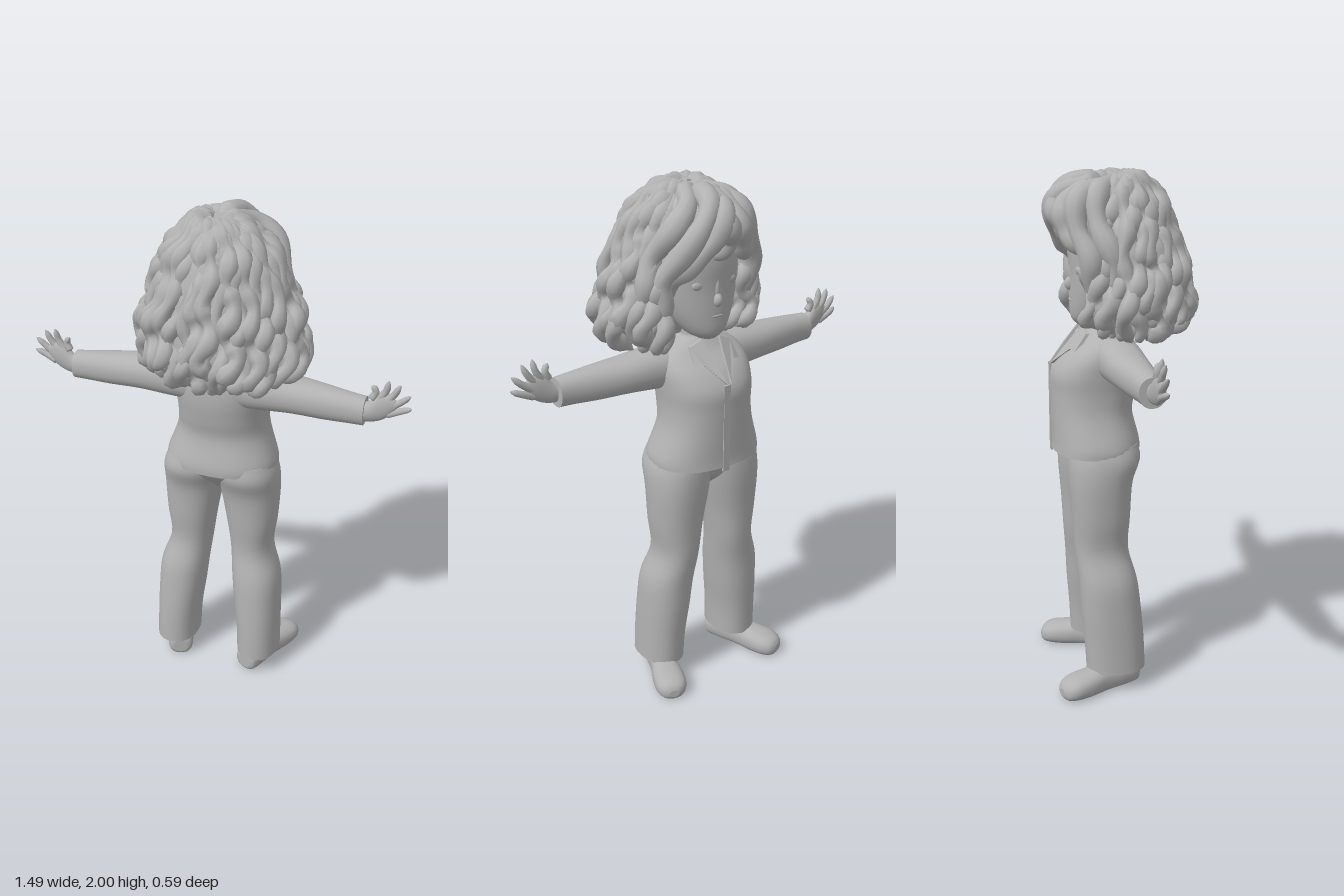
import * as THREE from 'three';
import { mergeVertices, mergeGeometries } from 'three/addons/utils/BufferGeometryUtils.js';

const clay = new THREE.MeshStandardMaterial({ color: 0xb2b2b2 });
clay.name = 'grey clay';

let seed = 7;
const rand = () => (seed = (seed * 16807) % 2147483647) / 2147483647;
const V = (p) => new THREE.Vector3(...p);

// Catmull-Rom value of a list of number rows at u in 0..1
function blend(rows, u) {
  const f = u * (rows.length - 1), i = Math.min(Math.floor(f), rows.length - 2), t = f - i;
  const at = (k) => rows[Math.max(0, Math.min(rows.length - 1, k))];
  return rows[0].map((_, c) => {
    const [a, b, d, e] = [at(i - 1)[c], at(i)[c], at(i + 1)[c], at(i + 2)[c]];
    return b + 0.5 * t * (d - a + t * (2 * a - 5 * b + 4 * d - e + t * (3 * (b - d) + e - a)));
  });
}

// Closed body through elliptical sections [y, centreX, centreZ, halfX, halfZ], y rising
function loft(rows, steps = 24, sides = 28, square = 0.9) {
  const pos = [], idx = [];
  const pw = (v) => Math.sign(v) * Math.abs(v) ** square;
  const ring = ([y, cx, cz, a, b]) => {
    for (let j = 0; j < sides; j++) {
      const t = (j / sides) * Math.PI * 2;
      pos.push(cx + a * pw(Math.cos(t)), y, cz + b * pw(Math.sin(t)));
    }
  };
  for (let i = 0; i <= steps; i++) ring(blend(rows, i / steps));
  for (let i = 0; i < steps; i++) for (let j = 0; j < sides; j++) {
    const a = i * sides + j, c = i * sides + (j + 1) % sides;
    idx.push(a, a + sides, c, c, a + sides, c + sides);
  }
  for (const [row, top] of [[rows[0], false], [rows[rows.length - 1], true]]) {
    const s = pos.length / 3;
    ring(row);
    pos.push(row[1], row[0], row[2]);
    for (let j = 0; j < sides; j++) {
      const a = s + j, b = s + (j + 1) % sides;
      idx.push(s + sides, top ? b : a, top ? a : b);
    }
  }
  const g = new THREE.BufferGeometry();
  g.setAttribute('position', new THREE.Float32BufferAttribute(pos, 3));
  g.setIndex(idx);
  g.computeVertexNormals();
  return g;
}

// Tube whose radius follows a function of its length
function strand(points, radius, steps = 36, sides = 8) {
  const curve = new THREE.CatmullRomCurve3(points.map(V));
  const g = new THREE.TubeGeometry(curve, steps, 1, sides);
  const p = g.attributes.position, v = new THREE.Vector3();
  for (let k = 0; k < p.count; k++) {
    const u = Math.floor(k / (sides + 1)) / steps, c = curve.getPointAt(u);
    v.fromBufferAttribute(p, k).sub(c).multiplyScalar(Math.max(radius(u), 0.0005)).add(c);
    p.setXYZ(k, v.x, v.y, v.z);
  }
  g.deleteAttribute('uv');
  g.deleteAttribute('normal');
  const m = mergeVertices(g, 1e-6);
  m.computeVertexNormals();
  return m;
}
const rounded = (r, tip = 0.1) => (u) => r * Math.sqrt(Math.min(1, (u + 0.004) / 0.06, (1 - u) / tip));

function mirrored(g) {
  const m = g.clone().scale(-1, 1, 1), a = m.index.array;
  for (let i = 0; i < a.length; i += 3) [a[i], a[i + 1]] = [a[i + 1], a[i]];
  m.computeVertexNormals();
  return m;
}

const ball = (x, y, z, a, b, c) => new THREE.SphereGeometry(1, 20, 14).scale(a, b, c).translate(x, y, z);

export function createModel() {
  const model = new THREE.Group();
  model.name = 'curlyHairedFigure';
  const add = (name, g) => {
    const m = new THREE.Mesh(g, clay);
    m.name = name;
    model.add(m);
  };
  const pair = (name, g) => { add('left' + name, g); add('right' + name, mirrored(g)); };

  // Trousers with flared legs
  add('trouserSeat', loft([[0.84, 0, -0.1, 0.03, 0.05], [0.875, 0, -0.1, 0.1, 0.088], [0.91, 0, -0.092, 0.18, 0.115],
    [0.95, 0, -0.085, 0.222, 0.138], [1.0, 0, -0.09, 0.21, 0.145]], 14, 28, 1));
  pair('TrouserLeg', loft([[0.08, 0.18, -0.055, 0.086, 0.116], [0.2, 0.176, -0.06, 0.088, 0.117],
    [0.33, 0.166, -0.07, 0.095, 0.117], [0.45, 0.155, -0.08, 0.097, 0.113], [0.57, 0.13, -0.1, 0.085, 0.104],
    [0.7, 0.127, -0.1, 0.101, 0.111], [0.84, 0.118, -0.1, 0.118, 0.122], [0.93, 0.11, -0.085, 0.122, 0.138],
    [0.99, 0.1, -0.085, 0.11, 0.13]], 36));

  // Shoes, flattened on the ground and turned outward
  const shoe = loft([[-0.03, 0, 0.04, 0.03, 0.03], [-0.015, 0, 0.045, 0.05, 0.05], [0.05, 0, 0.05, 0.055, 0.06],
    [0.12, 0, 0.045, 0.052, 0.055], [0.2, 0, 0.04, 0.062, 0.05], [0.26, 0, 0.037, 0.062, 0.044],
    [0.295, 0, 0.032, 0.045, 0.033], [0.308, 0, 0.03, 0.02, 0.015]], 28, 24, 0.85).rotateX(-Math.PI / 2);
  const sp = shoe.attributes.position;
  for (let i = 0; i < sp.count; i++) sp.setY(i, Math.max(0, sp.getY(i)));
  shoe.computeVertexNormals();
  pair('Shoe', shoe.rotateY(-0.36).translate(0.155, 0, 0.005));

  // Shirt body, front placket and collar
  add('shirt', loft([[0.955, 0, -0.1, 0.222, 0.168], [0.995, 0, -0.1, 0.218, 0.166], [1.1, 0, -0.113, 0.182, 0.155],
    [1.18, 0, -0.107, 0.174, 0.162], [1.26, 0, -0.1, 0.18, 0.166], [1.33, 0, -0.08, 0.182, 0.143],
    [1.385, 0, -0.06, 0.155, 0.1], [1.43, 0, -0.06, 0.07, 0.065]], 36, 36, 0.86));
  add('placket', new THREE.BoxGeometry(0.028, 0.345, 0.008).translate(0.012, 1.112, -0.266));
  const lapel = new THREE.ExtrudeGeometry(new THREE.Shape([[0.04, 1.43], [0.09, 1.41], [0.1, 1.345],
    [0.068, 1.352], [0.008, 1.285]].map(([x, y]) => new THREE.Vector2(x, y))), { depth: 0.014, bevelEnabled: false });
  const lp = lapel.attributes.position;
  for (let i = 0; i < lp.count; i++) {
    const x = lp.getX(i), y = lp.getY(i);
    lp.setZ(i, lp.getZ(i) - 0.162 - (1.42 - y) * 0.8 + x * x * 3);
  }
  lapel.setIndex([...Array(lp.count).keys()]);
  lapel.computeVertexNormals();
  pair('Collar', lapel);

  // Sleeves stretched out sideways
  pair('Sleeve', loft([[0.07, -1.32, -0.04, 0.085, 0.09], [0.18, -1.322, -0.035, 0.08, 0.086],
    [0.3, -1.32, -0.03, 0.069, 0.078], [0.42, -1.315, -0.02, 0.064, 0.064], [0.52, -1.312, -0.012, 0.057, 0.052],
    [0.575, -1.31, -0.01, 0.054, 0.048]], 24).rotateZ(-Math.PI / 2));

  // Hands with spread fingers
  const tips = [[0.745, 1.352], [0.738, 1.403], [0.698, 1.44], [0.655, 1.45], [0.595, 1.422]];
  const fingers = tips.map(([x, y], i) => {
    const bx = 0.672 - i * 0.014, by = 1.322 + i * 0.013;
    return strand([[bx - 0.02, by - 0.01, -0.002], [(bx + x) / 2 + 0.004, (by + y) / 2, -0.004], [x, y, 0.002]],
      (u) => rounded(0.016, 0.2)(u) * (1 - 0.35 * u), 14);
  });
  pair('Fingers', mergeGeometries(fingers));
  pair('Palm', loft([[0.55, -1.31, -0.004, 0.036, 0.03], [0.585, -1.313, -0.004, 0.04, 0.027],
    [0.62, -1.332, -0.003, 0.052, 0.023], [0.655, -1.346, -0.002, 0.046, 0.018],
    [0.685, -1.355, -0.002, 0.02, 0.01]], 14, 20, 1).rotateZ(-Math.PI / 2));

  // Neck, head and face
  add('neck', new THREE.CylinderGeometry(0.055, 0.062, 0.16, 20).translate(0, 1.44, -0.05));
  add('head', loft([[1.43, 0, -0.115, 0.035, 0.045], [1.46, 0, -0.1, 0.08, 0.085], [1.53, 0, -0.08, 0.123, 0.11],
    [1.63, 0, -0.072, 0.148, 0.117], [1.74, 0, -0.07, 0.148, 0.122], [1.85, 0, -0.06, 0.11, 0.1],
    [1.9, 0, -0.05, 0.05, 0.05]], 28, 32, 1));
  add('nose', ball(0, 1.585, -0.186, 0.018, 0.026, 0.022));
  add('noseBridge', ball(0, 1.625, -0.18, 0.013, 0.05, 0.014));
  add('upperLip', ball(0, 1.525, -0.181, 0.034, 0.008, 0.011));
  add('lowerLip', ball(0, 1.511, -0.177, 0.028, 0.009, 0.012));
  pair('Eye', ball(0.06, 1.645, -0.164, 0.036, 0.022, 0.015));
  pair('Eyebrow', strand([[0.028, 1.688, -0.18], [0.065, 1.702, -0.17], [0.102, 1.69, -0.15]], rounded(0.008), 12));

  // Hair mass under the curls
  add('hairBase', loft([[1.4, 0.03, 0.08, 0.14, 0.1], [1.5, 0.03, 0.08, 0.25, 0.16], [1.65, 0.03, 0.06, 0.255, 0.17],
    [1.8, 0.025, 0.005, 0.21, 0.2], [1.9, 0.02, -0.025, 0.15, 0.185], [1.968, 0.01, -0.03, 0.06, 0.09]], 28, 32, 1));

  // Curly locks falling from the crown, open around the face
  const fall = [[1.97, 0.08], [1.945, 0.33], [1.87, 0.58], [1.75, 0.76], [1.62, 0.89], [1.5, 0.95], [1.39, 0.74]];
  const curls = [];
  for (const [count, size, reach] of [[32, 1, 1], [24, 0.82, 1.04]]) {
    for (let k = 0; k < count; k++) {
      const phi = 0.72 + ((k + 0.3 * rand()) / (count - 0.7)) * (2 * Math.PI - 1.44);
      const phase = rand() * 6.28, waves = 19 + rand() * 8, girth = 0.027 + rand() * 0.009;
      const end = Math.min(1, (0.87 + rand() * 0.14) * reach), grow = size * (0.94 + rand() * 0.09);
      const points = [];
      for (let i = 0; i <= 26; i++) {
        const t = i / 26, [y, r] = blend(fall, t * end);
        const a = phi + Math.sin(waves * t + phase) * 0.085 * t ** 0.5;
        const d = r * grow + Math.cos(waves * t + phase) * 0.07 * t;
        points.push([0.03 * Math.min(1, t * 3) + 0.312 * d * Math.sin(a), y,
          0.01 + 0.02 * t - (Math.cos(a) > 0 ? 0.25 : 0.245) * d * Math.cos(a)]);
      }
      const lump = rounded(girth, 0.08);
      curls.push(strand(points, (u) => lump(u) * (1 + 0.18 * Math.sin(waves * 1.6 * u + phase)), 46, 7));
    }
  }
  add('curls', mergeGeometries(curls));

  // Fringe parted off-centre and swept to both sides in wavy locks
  const fringe = [
    [[0, 1.955, -0.06], [0.04, 1.935, -0.19], [0.1, 1.87, -0.225], [0.16, 1.77, -0.19], [0.21, 1.67, -0.14], [0.2, 1.58, -0.14], [0.225, 1.48, -0.11]],
    [[-0.03, 1.95, -0.08], [0, 1.915, -0.215], [0.05, 1.83, -0.237], [0.11, 1.75, -0.2], [0.165, 1.68, -0.15], [0.165, 1.6, -0.13]],
    [[-0.04, 1.95, -0.06], [-0.1, 1.9, -0.17], [-0.14, 1.8, -0.18], [-0.18, 1.7, -0.14], [-0.165, 1.6, -0.13], [-0.195, 1.48, -0.1]],
    [[-0.05, 1.94, -0.1], [-0.055, 1.885, -0.21], [-0.09, 1.79, -0.21], [-0.135, 1.71, -0.165]],
    [[0.03, 1.955, -0.02], [0.1, 1.925, -0.14], [0.17, 1.86, -0.16], [0.225, 1.75, -0.1], [0.245, 1.65, -0.1], [0.26, 1.52, -0.06]],
    [[-0.02, 1.955, -0.02], [-0.1, 1.92, -0.1], [-0.16, 1.82, -0.11], [-0.205, 1.69, -0.06], [-0.21, 1.58, -0.07]],
    [[0.01, 1.945, -0.14], [0, 1.88, -0.235], [-0.02, 1.8, -0.215], [0.02, 1.735, -0.19]],
  ];
  add('fringe', mergeGeometries(fringe.map((p, i) => {
    const lump = rounded(0.041, 0.25);
    return strand(p, (u) => lump(u) * (1 + 0.14 * Math.sin(16 * u + i * 2)), 36, 10);
  })));

  return model;
}
